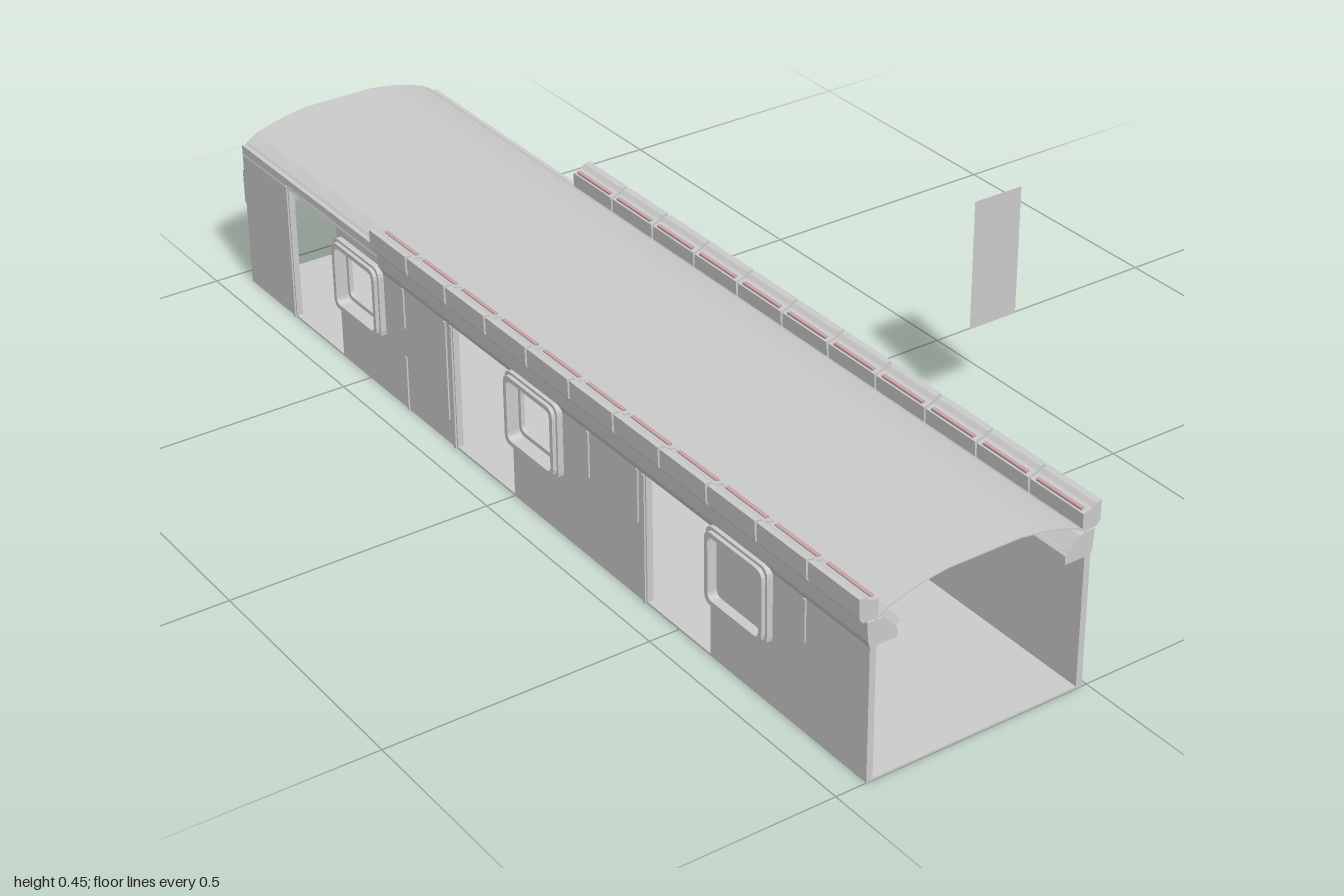
import * as THREE from 'three';

const CX = -0.226;              // centre line of the carriage body
const FRONT = 1, BACK = -0.96;  // ends of the body along z
const IN = 0.204, OUT = 0.216;  // inner and outer wall faces, from the centre line
const DOORS = [[0.41, 0.59], [-0.19, 0], [-0.78, -0.6]];
const WINDOWS = [0.675, 0.08, -0.512];
const WIN_Y = 0.187;

const grey = new THREE.MeshStandardMaterial({ color: 0xcccccc, side: THREE.DoubleSide, flatShading: true });
const pink = new THREE.MeshStandardMaterial({ color: 0xc9a3a3, side: THREE.DoubleSide, flatShading: true });

function add(parent, name, geometry, material = grey) {
  const mesh = new THREE.Mesh(geometry, material);
  mesh.name = name;
  parent.add(mesh);
  return mesh;
}

function box(parent, name, x0, x1, y0, y1, z0, z1, material) {
  const mesh = add(parent, name, new THREE.BoxGeometry(x1 - x0, y1 - y0, z1 - z0), material);
  mesh.position.set((x0 + x1) / 2, (y0 + y1) / 2, (z0 + z1) / 2);
  return mesh;
}

const polygon = (pts) => new THREE.Shape(pts.map(([x, y]) => new THREE.Vector2(x, y)));

// Cross-section in x,y swept along z
function sweep(parent, name, pts, z0, z1) {
  const geo = new THREE.ExtrudeGeometry(polygon(pts), { depth: z1 - z0, bevelEnabled: false });
  geo.translate(0, 0, z0);
  return add(parent, name, geo);
}

// Side outline (first coordinate is -z) given a thickness from x0 to x1
function slab(parent, name, shape, x0, x1) {
  const geo = new THREE.ExtrudeGeometry(shape, { depth: x1 - x0, bevelEnabled: false, curveSegments: 4 });
  geo.rotateY(Math.PI / 2).translate(x0, 0, 0);
  return add(parent, name, geo);
}

function roundedRect(Type, u, v, w, h, r) {
  const s = new Type(), a = u - w / 2, b = u + w / 2, c = v - h / 2, d = v + h / 2;
  s.moveTo(a + r, c).lineTo(b - r, c).quadraticCurveTo(b, c, b, c + r);
  s.lineTo(b, d - r).quadraticCurveTo(b, d, b - r, d);
  s.lineTo(a + r, d).quadraticCurveTo(a, d, a, d - r);
  s.lineTo(a, c + r).quadraticCurveTo(a, c, a + r, c);
  return s;
}

function windowFrame(parent, z, w, h, border, x0, x1, name) {
  const shape = roundedRect(THREE.Shape, -z, WIN_Y, w, h, 0.018);
  shape.holes.push(roundedRect(THREE.Path, -z, WIN_Y, w - 2 * border, h - 2 * border, 0.012));
  slab(parent, name, shape, x0, x1);
}

// One long side, built on +x of the centre line
function createSide(glazed) {
  const side = new THREE.Group();

  // Wall with door notches and window holes
  const outline = [[-FRONT, 0]];
  for (const [z0, z1] of DOORS) outline.push([-z1, 0], [-z1, 0.282], [-z0, 0.282], [-z0, 0]);
  outline.push([-BACK, 0], [-BACK, 0.295], [-FRONT, 0.295]);
  const wall = polygon(outline);
  for (const z of WINDOWS) wall.holes.push(roundedRect(THREE.Path, -z, WIN_Y, 0.15, 0.132, 0.014));
  slab(side, 'wall', wall, IN, OUT);

  // Window frames: stepped outside, slim inside
  for (const z of WINDOWS) {
    windowFrame(side, z, 0.164, 0.147, 0.01, OUT - 0.002, 0.227, 'outerWindowFrame');
    windowFrame(side, z, 0.154, 0.137, 0.009, 0.227, 0.234, 'windowRim');
    windowFrame(side, z, 0.15, 0.12, 0.008, 0.198, IN + 0.002, 'innerWindowFrame');
  }
  if (glazed) box(side, 'windowPanel', 0.208, 0.211, 0.12, 0.254, 0.6, 0.75);

  // Door sills
  for (const [z0, z1] of DOORS) box(side, 'doorSill', IN, OUT, 0, 0.004, z0, z1);

  // Thin upright seams: z, bottom, top
  const seams = [[0.84, 0.17, 0.25], [0.404, 0, 0.25], [0.385, 0.15, 0.25], [0.24, 0.16, 0.25],
    [-0.196, 0, 0.25], [-0.215, 0.05, 0.25], [-0.36, 0, 0.11], [-0.36, 0.17, 0.25], [-0.786, 0, 0.28]];
  for (const [z, y0, y1] of seams) box(side, 'wallSeam', OUT - 0.001, OUT + 0.003, y0, y1, z - 0.003, z + 0.003);

  // Gutter cornice in short lengths, each with a tinted strip
  const count = 11, step = (FRONT + 0.44) / count;
  const gutter = [[0.2, 0.297], [0.228, 0.297], [0.235, 0.306], [0.236, 0.342], [0.224, 0.341], [0.217, 0.334], [0.199, 0.329]];
  for (let i = 0; i < count; i++) {
    const z0 = -0.44 + i * step;
    sweep(side, 'gutterSection', gutter, z0 + 0.003, z0 + step - 0.003);
    box(side, 'gutterStrip', 0.202, 0.209, 0.329, 0.334, z0 + 0.012, z0 + step - 0.012, pink);
  }
  sweep(side, 'gutterCore', [[0.203, 0.298], [0.226, 0.298], [0.232, 0.307], [0.232, 0.333], [0.203, 0.326]], -0.437, FRONT - 0.003);

  // Bracket moulding under the gutter, reaching inside
  sweep(side, 'bracketMoulding', [[0.164, 0.25], [0.216, 0.25], [0.22, 0.262], [0.222, 0.297], [0.192, 0.294], [0.18, 0.282], [0.164, 0.266]], -0.44, FRONT);
  sweep(side, 'innerLip', [[0.159, 0.281], [0.161, 0.282], [0.174, 0.271], [0.172, 0.269]], -0.44, FRONT);

  // Flap at the back end
  box(side, 'endFlap', 0.196, 0.199, 0.152, 0.222, -1, BACK + 0.01);
  return side;
}

export function createModel() {
  const model = new THREE.Group();
  const body = new THREE.Group();
  body.name = 'carriageBody';
  body.position.x = CX;
  model.add(body);

  box(body, 'floor', -IN, IN, 0, 0.004, BACK, FRONT);

  // Arched roof shell, mirrored from half a profile
  const half = [[0.217, 0.275], [0.214, 0.288], [0.204, 0.299], [0.185, 0.311], [0.155, 0.321], [0.115, 0.331], [0.07, 0.337]];
  const arch = [...half, ...half.map(([x, y]) => [-x, y]).reverse()];
  const under = arch.map(([x, y]) => [x * 0.988, y - 0.002]).reverse();
  sweep(body, 'roof', [...arch, ...under], BACK, FRONT);

  // The two long sides
  const left = createSide(false);
  left.name = 'leftSide';
  const right = createSide(true);
  right.name = 'rightSide';
  right.scale.x = -1;
  body.add(left, right);

  // Free-standing flat panel beside the carriage
  const panel = add(model, 'loosePanel', new THREE.PlaneGeometry(0.105, 0.255));
  panel.position.set(0.41, 0.318, 0.26);
  return model;
}
